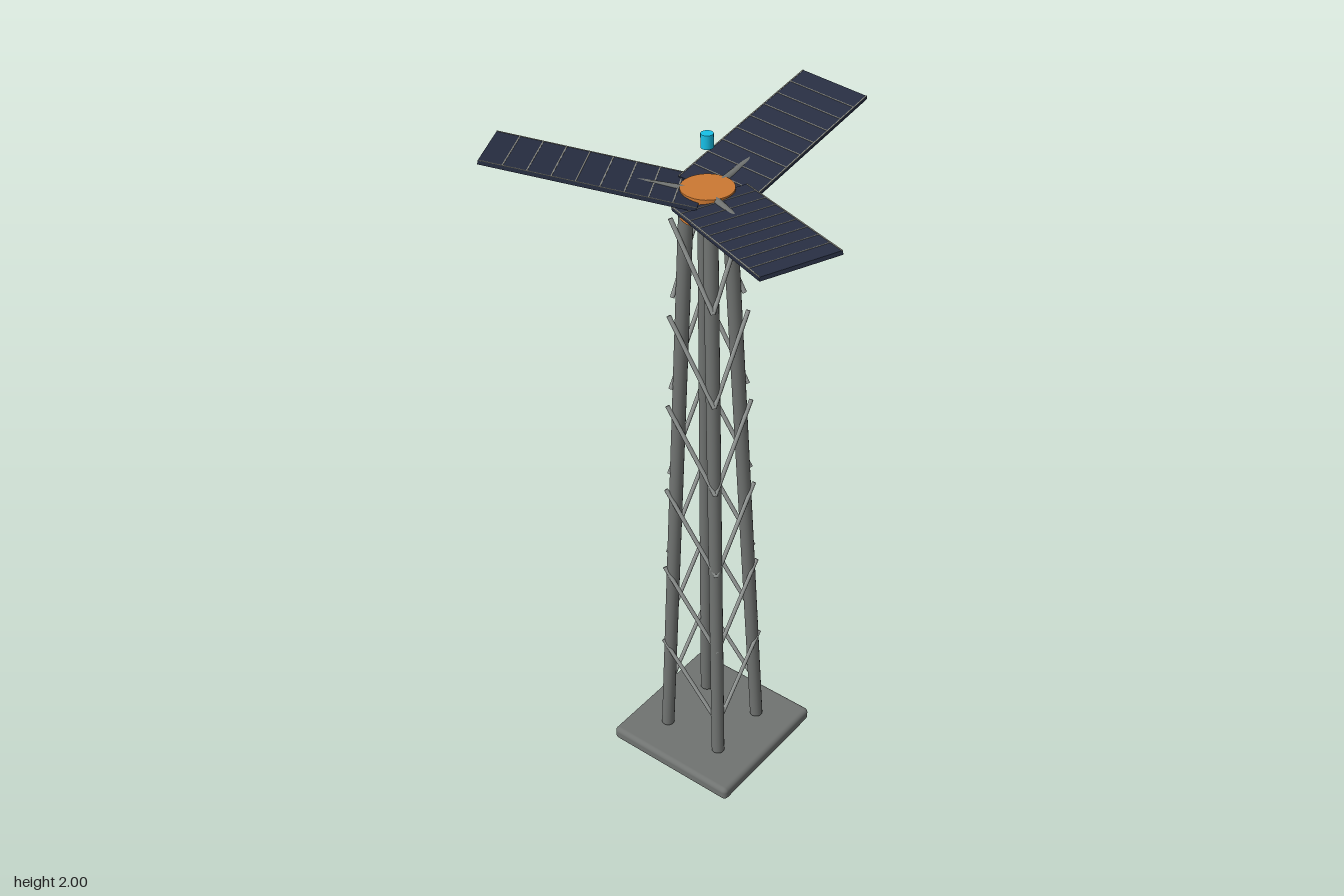
import * as THREE from 'three';
import { RoundedBoxGeometry } from 'three/addons/geometries/RoundedBoxGeometry.js';

const mat = (name, color) => {
  const m = new THREE.MeshStandardMaterial({ color });
  m.name = name;
  return m;
};

export function createModel() {
  const steel = mat('steel grey', 0x707371);
  const lightSteel = mat('light steel', 0x8f9391);
  const copper = mat('copper', 0xcb7832);
  const navy = mat('panel navy', 0x282f43);
  const seam = mat('seam grey', 0x8c8c84);
  const teal = mat('beacon teal', 0x18c6ee);

  const root = new THREE.Group();
  root.name = 'solarTower';
  const tower = new THREE.Group();
  tower.name = 'tower';
  tower.position.x = -0.092;
  root.add(tower);

  const add = (parent, name, geo, material, x = 0, y = 0, z = 0) => {
    const mesh = new THREE.Mesh(geo, material);
    mesh.name = name;
    mesh.position.set(x, y, z);
    parent.add(mesh);
    return mesh;
  };
  // Cylinder running from point a to point b
  const rod = (parent, name, material, a, b, r, sides) => {
    const A = new THREE.Vector3(...a), B = new THREE.Vector3(...b);
    const d = B.clone().sub(A);
    const mesh = add(parent, name, new THREE.CylinderGeometry(r, r, d.length(), sides), material);
    mesh.position.copy(A).add(B).multiplyScalar(0.5);
    mesh.quaternion.setFromUnitVectors(new THREE.Vector3(0, 1, 0), d.normalize());
  };

  // Base slab
  add(tower, 'base', new RoundedBoxGeometry(0.426, 0.043, 0.426, 4, 0.014), steel, 0, 0.0215, 0);

  // Four leaning legs
  for (const sx of [-1, 1]) for (const sz of [-1, 1]) {
    rod(tower, 'leg', steel, [sx * 0.096, 0.05, sz * 0.096], [sx * 0.038, 1.785, sz * 0.038], 0.019, 16);
  }

  // Six tiers of diagonal braces, one on each face
  for (let i = 0; i < 6; i++) {
    const w = 0.1 - 0.007 * i;
    const y0 = 0.165 + 0.278 * i, y1 = y0 + 0.225;
    for (const s of [-1, 1]) {
      rod(tower, 'brace', lightSteel, [-w, y0, s * w], [w, y1, s * w], 0.006, 8);
      rod(tower, 'brace', lightSteel, [s * w, y0, w], [s * w, y1, -w], 0.006, 8);
    }
  }

  // Hub and floating beacon
  add(tower, 'hub', new THREE.CylinderGeometry(0.068, 0.07, 0.076, 32), copper, 0, 1.821, 0);
  add(tower, 'beacon', new THREE.CylinderGeometry(0.016, 0.016, 0.036, 20), teal, 0, 1.982, 0);

  // Three panels, tilted up and rolled sideways, each with a support arm
  const length = 0.53, thick = 0.01, width = 0.2;
  for (let k = 0; k < 3; k++) {
    const wing = new THREE.Group();
    wing.name = 'wing';
    wing.rotation.y = (k * Math.PI * 2) / 3;
    tower.add(wing);
    rod(wing, 'arm', steel, [0.02, 1.845, 0], [0.277, 1.871, 0], 0.0105, 12);

    const panel = new THREE.Group();
    panel.name = 'panel';
    panel.position.set(0.275, 1.884, 0);
    panel.rotation.set(0.1, 0, Math.atan(0.176), 'ZXY');
    wing.add(panel);
    add(panel, 'panelBoard', new THREE.BoxGeometry(length, thick, width), navy);
    // Cross seams and edge trims on the upper face
    for (let i = 1; i < 9; i++) {
      add(panel, 'seam', new THREE.BoxGeometry(0.003, 0.002, width - 0.002), seam,
        -length / 2 + (i * length) / 9, thick / 2, 0);
    }
    for (const s of [-1, 1]) {
      add(panel, 'edgeTrim', new THREE.BoxGeometry(length, 0.002, 0.003), seam,
        0, thick / 2, s * (width / 2 - 0.0015));
    }
  }
  return root;
}
